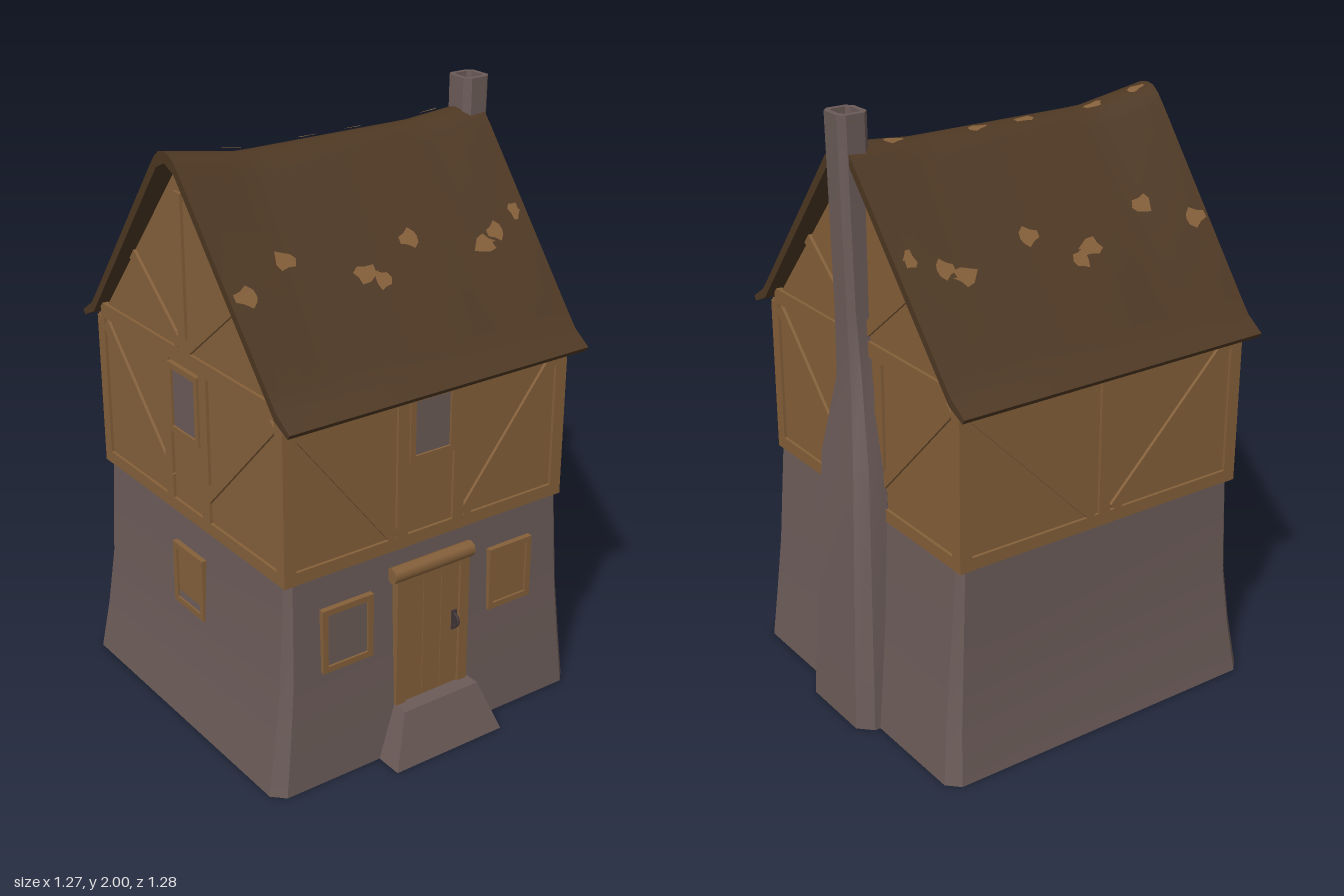
import * as THREE from 'three';
import { toCreasedNormals } from 'three/addons/utils/BufferGeometryUtils.js';

const mat = (name, color, side = THREE.FrontSide) => {
  const m = new THREE.MeshStandardMaterial({ color, side });
  m.name = name;
  return m;
};
const MID = -0.025; // z of the ridge

// Stack of chamfered rectangles: [y, x0, x1, z0, z1, chamfer]
function loft(rings) {
  const pos = [], idx = [];
  for (const [y, x0, x1, z0, z1, c] of rings) {
    for (const [x, z] of [[x0 + c, z1], [x1 - c, z1], [x1, z1 - c], [x1, z0 + c],
      [x1 - c, z0], [x0 + c, z0], [x0, z0 + c], [x0, z1 - c]]) pos.push(x, y, z);
  }
  for (let r = 0; r < rings.length - 1; r++) {
    for (let i = 0; i < 8; i++) {
      const a = r * 8 + i, b = r * 8 + (i + 1) % 8;
      idx.push(a, b, b + 8, a, b + 8, a + 8);
    }
  }
  const g = new THREE.BufferGeometry();
  g.setAttribute('position', new THREE.Float32BufferAttribute(pos, 3));
  g.setIndex(idx);
  return toCreasedNormals(g, 0.6);
}

// The ridge dips in the middle and lifts at both ends
function sag(x, y) {
  const lift = x < -0.34 ? (-0.34 - x) / 0.27 * 0.045 : x > 0.28 ? (x - 0.28) / 0.28 * 0.025 : 0;
  return lift * Math.max(0, (y - 1.25) / 0.63);
}

// Half profile of the roof: [distance from ridge, height]
const ROOF = [[0, 1.885], [0.03, 1.88], [0.055, 1.862], [0.085, 1.83], [0.5, 1.343], [0.545, 1.292], [0.61, 1.25]];
const UNDER = [[0.6, 1.235], [0.535, 1.265], [0.05, 1.83], [0, 1.852]];

function roofY(x, z) {
  const s = Math.abs(z - MID);
  let i = 1;
  while (i < ROOF.length - 1 && s > ROOF[i][0]) i++;
  const [a, ya] = ROOF[i - 1], [b, yb] = ROOF[i];
  const y = ya + (yb - ya) * (s - a) / (b - a);
  return y + sag(x, y);
}

// Extrude a symmetric cross-section along x, then bend it to the sagging ridge
function alongX(points, x0, x1, flare) {
  const g = new THREE.ExtrudeGeometry(new THREE.Shape(points.map(p => new THREE.Vector2(...p))),
    { depth: x1 - x0, steps: 18, bevelEnabled: false });
  g.rotateY(Math.PI / 2).translate(x0, 0, MID);
  const p = g.attributes.position;
  for (let i = 0; i < p.count; i++) {
    const x = p.getX(i), y = p.getY(i);
    p.setY(i, y + sag(x, y));
    p.setX(i, x * (1 + flare * Math.max(0, y - 1.25)));
  }
  return toCreasedNormals(g, 0.6);
}

export function createModel() {
  const house = new THREE.Group();
  house.name = 'house';
  const stone = mat('stone', 0x6b5b58, THREE.DoubleSide);
  const wood = mat('wood', 0x85603a);
  const thatch = mat('thatch', 0x4e3823, THREE.DoubleSide);
  const iron = mat('iron', 0x45393a);

  const add = (parent, name, geo, material) => {
    const m = new THREE.Mesh(geo, material);
    m.name = name;
    parent.add(m);
    return m;
  };
  const box = (parent, name, material, x0, x1, y0, y1, z0, z1) => {
    const m = add(parent, name, new THREE.BoxGeometry(x1 - x0, y1 - y0, z1 - z0), material);
    m.position.set((x0 + x1) / 2, (y0 + y1) / 2, (z0 + z1) / 2);
    return m;
  };
  // Each side has its own frame: x along the wall, z outward
  const side = (name, x, z, turn) => {
    const g = new THREE.Group();
    g.name = name;
    g.position.set(x, 0, z);
    g.rotation.y = turn;
    house.add(g);
    return g;
  };
  const beam = (parent, x0, y0, x1, y1, w = 0.042, out = 0.01) => {
    const m = add(parent, 'beam', new THREE.BoxGeometry(Math.hypot(x1 - x0, y1 - y0), w, out * 2), wood);
    m.position.set((x0 + x1) / 2, (y0 + y1) / 2, 0);
    m.rotation.z = Math.atan2(y1 - y0, x1 - x0);
  };
  // Four-piece frame around a pane, reaching through the wall
  const windowAt = (parent, x0, x1, y0, y1, back, out, pane) => {
    const t = 0.02;
    box(parent, 'windowPane', pane, x0 + t, x1 - t, y0 + t, y1 - t, back + 0.005, out - 0.008);
    box(parent, 'windowFrame', wood, x0, x0 + t, y0, y1, back, out);
    box(parent, 'windowFrame', wood, x1 - t, x1, y0, y1, back, out);
    box(parent, 'windowFrame', wood, x0 + t, x1 - t, y0, y0 + t, back, out);
    box(parent, 'windowFrame', wood, x0 + t, x1 - t, y1 - t, y1, back, out);
  };

  // Stone ground floor, open below
  add(house, 'stoneBase', loft([
    [0, -0.64, 0.57, -0.61, 0.55, 0.04],
    [0.18, -0.612, 0.55, -0.588, 0.538, 0.035],
    [0.38, -0.587, 0.528, -0.572, 0.528, 0.03],
    [0.72, -0.568, 0.502, -0.562, 0.515, 0.02]]), stone);

  // Chimney with hollow top
  add(house, 'chimney', loft([
    [0, 0.46, 0.635, -0.2, 0.15, 0.045],
    [0.9, 0.46, 0.592, -0.155, 0.105, 0.035],
    [1.17, 0.46, 0.558, -0.092, 0.042, 0.025],
    [1.4, 0.465, 0.56, -0.08, 0.03, 0.02],
    [2, 0.47, 0.572, -0.08, 0.03, 0.02],
    [2, 0.487, 0.555, -0.063, 0.013, 0.012],
    [1.9, 0.487, 0.555, -0.063, 0.013, 0.012],
    [1.9, 0.52, 0.52, -0.025, -0.025, 0]]), stone);

  // Door step
  add(house, 'doorStep', loft([
    [0, -0.245, 0.18, 0.45, 0.645, 0],
    [0.175, -0.18, 0.115, 0.45, 0.595, 0],
    [0.175, -0.03, -0.03, 0.5, 0.5, 0]]), stone);

  // Plank-filled upper floor with gables
  add(house, 'upperFloor', alongX([[-0.535, 0.72], [0.535, 0.72], [0.535, 1.24], [0, 1.845], [-0.535, 1.24]],
    -0.57, 0.495, 0), wood);

  // Roof
  const mirror = pts => pts.map(([s, y]) => [-s, y]);
  const outline = [...ROOF, ...UNDER, ...mirror(UNDER.slice(0, -1)).reverse(), ...mirror(ROOF.slice(1)).reverse()];
  add(house, 'roof', alongX(outline.reverse(), -0.598, 0.532, 0.045), thatch);

  // Worn patches following the roof surface
  const patch = (cx, cz, rx, rz) => {
    const g = new THREE.CircleGeometry(1, 9), p = g.attributes.position;
    for (let i = 0; i < p.count; i++) {
      const k = 0.8 + 0.2 * Math.sin(i * 2.3 + cx * 20);
      const x = cx + p.getX(i) * rx * k, z = cz - p.getY(i) * rz * k;
      p.setXYZ(i, x, roofY(x, z) + 0.008, z);
    }
    g.computeVertexNormals();
    add(house, 'roofPatch', g, wood);
  };
  for (const [x, s, r] of [[-0.55, 0.33, 0.05], [-0.38, 0.27, 0.045], [-0.13, 0.33, 0.05], [-0.08, 0.35, 0.035],
    [0.07, 0.28, 0.045], [0.33, 0.33, 0.05], [0.39, 0.31, 0.04], [0.49, 0.28, 0.025]]) {
    for (const d of [-1, 1]) patch(x, MID + d * s, r, 0.024);
  }
  for (const x of [-0.54, -0.37, -0.1, 0.08, 0.38]) patch(x, -0.052, 0.045, 0.014);

  // Front timber
  const front = side('frontTimber', 0, 0.51, 0);
  beam(front, -0.575, 0.742, 0.5, 0.742);
  beam(front, -0.575, 1.235, 0.5, 1.235);
  for (const x of [-0.557, -0.143, 0.075, 0.482]) beam(front, x, 0.72, x, 1.25);
  beam(front, -0.53, 1.22, -0.17, 0.765);
  beam(front, 0.46, 1.22, 0.1, 0.765);
  windowAt(front, -0.122, 0.054, 1.005, 1.225, -0.01, 0.016, stone);

  // Back timber
  const back = side('backTimber', -0.037, -0.56, Math.PI);
  beam(back, -0.538, 0.742, 0.538, 0.742);
  beam(back, -0.538, 1.235, 0.538, 1.235);
  for (const x of [-0.52, 0, 0.52]) beam(back, x, 0.72, x, 1.25);
  for (const d of [-1, 1]) beam(back, d * 0.49, 1.22, d * 0.04, 0.765);

  // Gable side timber
  const right = side('rightTimber', 0.495, MID, Math.PI / 2);
  const left = side('leftTimber', -0.57, MID, -Math.PI / 2);
  for (const g of [right, left]) {
    beam(g, -0.545, 0.742, 0.545, 0.742);
    beam(g, -0.52, 1.275, 0.52, 1.275, 0.05);
    beam(g, 0, 1.3, 0, 1.8);
    for (const d of [-1, 1]) {
      beam(g, d * 0.524, 0.72, d * 0.524, 1.25);
      beam(g, d * 0.11, 0.76, d * 0.11, 1.25);
      beam(g, d * 0.495, 1.235, d * 0.1, 0.83);
      beam(g, d * 0.29, 1.53, d * 0.02, 1.31);
    }
  }
  windowAt(left, -0.088, 0.088, 1.005, 1.24, -0.01, 0.016, stone);
  windowAt(left, -0.09, 0.09, 0.39, 0.61, -0.03, 0.022, wood);

  // Ground floor windows
  const ground = side('groundFloorFront', 0, 0, 0);
  windowAt(ground, -0.455, -0.265, 0.39, 0.61, 0.49, 0.539, stone);
  windowAt(ground, 0.2, 0.375, 0.39, 0.61, 0.49, 0.539, wood);

  // Door with frame, planks, lintel and handle
  const door = side('door', 0, 0, 0);
  for (const x of [-0.18, 0.07]) box(door, 'doorPost', wood, x, x + 0.036, 0.17, 0.63, 0.49, 0.549);
  for (let i = 0; i < 3; i++) {
    const x = -0.143 + i * 0.0715;
    box(door, 'doorPlank', wood, x, x + 0.069, 0.17, 0.61, 0.495, 0.541);
  }
  box(door, 'doorHeader', wood, -0.145, 0.071, 0.605, 0.63, 0.49, 0.546);
  const lintel = add(door, 'lintel', new THREE.CylinderGeometry(0.027, 0.027, 0.315, 8), wood);
  lintel.rotation.z = Math.PI / 2;
  lintel.position.set(-0.037, 0.645, 0.533);
  box(door, 'handlePlate', iron, 0.042, 0.062, 0.375, 0.445, 0.54, 0.546);
  const handle = add(door, 'handle', new THREE.TorusGeometry(0.022, 0.005, 6, 10, Math.PI), iron);
  handle.rotation.set(0, Math.PI / 2, Math.PI / 2, 'YXZ');
  handle.rotation.set(0, Math.PI / 2, Math.PI / 2);
  handle.position.set(0.052, 0.41, 0.544);

  return house;
}
